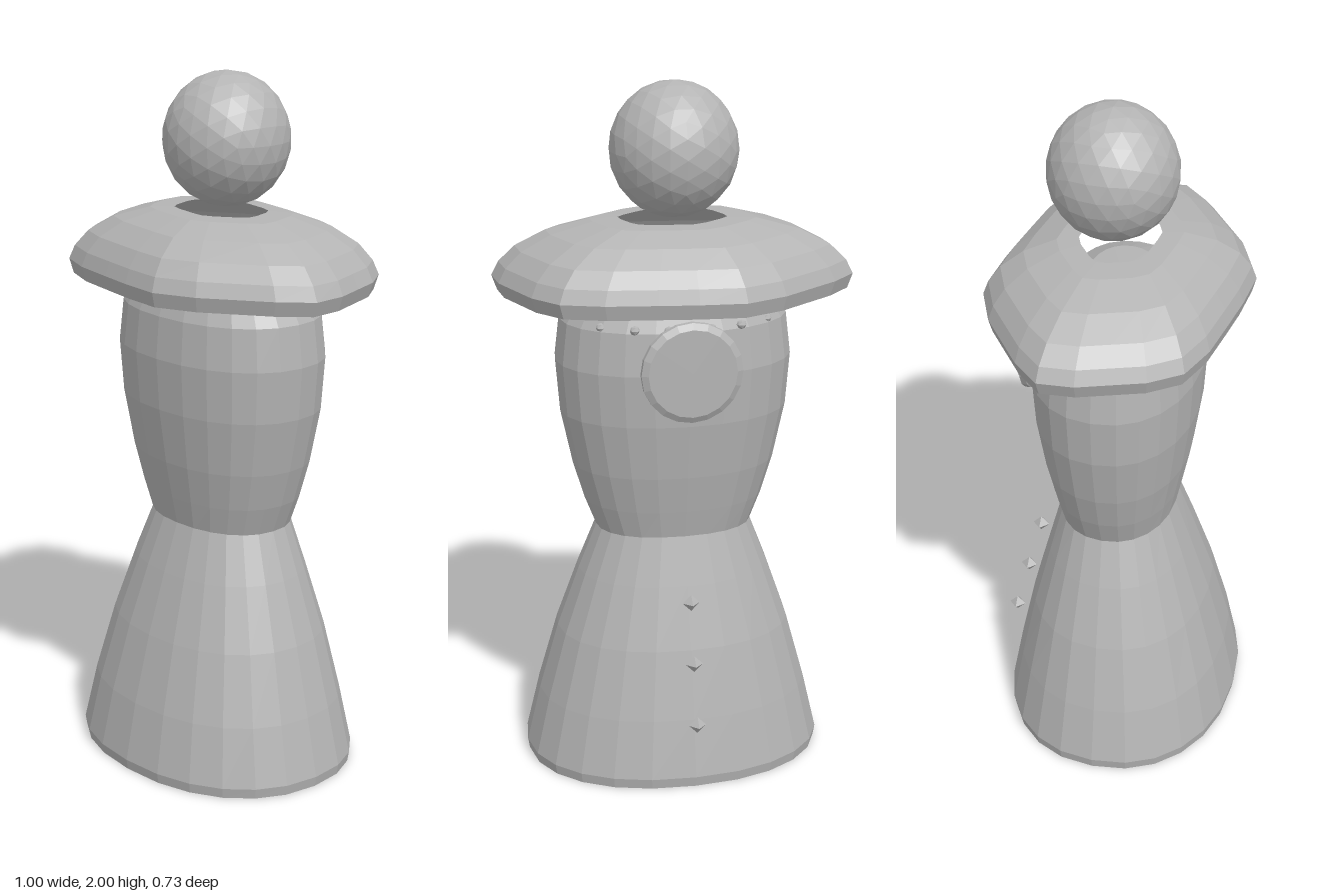
import * as THREE from 'three';

const clay = new THREE.MeshStandardMaterial({ color: 0xb4b4b4, flatShading: true, side: THREE.DoubleSide });
clay.name = 'clay grey';

// Surface through closed rings of [x, y, z] points, listed from bottom to top
function loft(rings) {
  const n = rings[0].length;
  const index = [];
  for (let i = 0; i < rings.length - 1; i++) {
    for (let j = 0; j < n; j++) {
      const k = (j + 1) % n;
      const a = i * n + j, b = i * n + k, c = a + n, d = b + n;
      index.push(a, c, b, b, c, d);
    }
  }
  const geo = new THREE.BufferGeometry();
  geo.setAttribute('position', new THREE.Float32BufferAttribute(rings.flat(2), 3));
  geo.setIndex(index);
  geo.computeVertexNormals();
  return geo;
}

// Slightly squared oval ring
function oval(y, rx, rz, cz = 0, sides = 24, power = 2.2) {
  const bend = v => Math.sign(v) * Math.pow(Math.abs(v), 2 / power);
  return Array.from({ length: sides }, (_, i) => {
    const a = (i / sides) * Math.PI * 2;
    return [rx * bend(Math.cos(a)), y, cz + rz * bend(Math.sin(a))];
  });
}

export function createModel() {
  const model = new THREE.Group();
  model.name = 'figure';

  function add(name, geo, x = 0, y = 0, z = 0) {
    const mesh = new THREE.Mesh(geo, clay);
    mesh.name = name;
    mesh.position.set(x, y, z);
    model.add(mesh);
    return mesh;
  }

  // Flared skirt, open below
  add('skirt', loft([
    [0, 0.435, 0.34, 0.02], [0.03, 0.44, 0.345, 0.02], [0.2, 0.4, 0.312, 0.018],
    [0.4, 0.344, 0.264, 0.012], [0.58, 0.28, 0.211, 0.006], [0.72, 0.225, 0.168, 0],
  ].map(r => oval(...r))));

  // Torso swelling to the chest and closing in rounded shoulders
  add('torso', loft([
    [0.71, 0.225, 0.166], [0.8, 0.26, 0.185], [0.91, 0.293, 0.207], [1.07, 0.327, 0.23],
    [1.22, 0.339, 0.239], [1.34, 0.325, 0.228], [1.41, 0.285, 0.2], [1.46, 0.22, 0.155],
    [1.5, 0.13, 0.09], [1.505, 0.001, 0.001],
  ].map(r => oval(...r))));

  // Wide uneven collar: half an outline, repeated by a half turn
  const half = [
    [-0.5, -0.1], [-0.425, -0.178], [-0.25, -0.305], [-0.13, -0.356], [0, -0.345], [0.11, -0.328],
    [0.25, -0.305], [0.365, -0.263], [0.428, -0.178], [0.46, -0.09], [0.493, 0],
  ];
  const outline = [...half, ...half.map(([x, z]) => [-x, -z])];
  const collarProfile = [
    [0.94, 1.425], [0.97, 1.408], [1, 1.45], [0.96, 1.49], [0.87, 1.535],
    [0.7, 1.58], [0.46, 1.612], [0.3, 1.615],
  ];
  add('collar', loft(collarProfile.map(([s, y]) => outline.map(([x, z]) => [x * s, y, z * s]))));

  // Head
  add('head', new THREE.IcosahedronGeometry(1, 3), 0, 1.81, -0.02).scale.set(0.181, 0.19, 0.181);

  // Bevelled round plate on the back
  const plate = [[0, -0.018], [0.125, -0.018], [0.143, -0.008], [0.143, 0.008], [0.125, 0.018], [0, 0.018]];
  add('backPlate', new THREE.LatheGeometry(plate.map(p => new THREE.Vector2(...p)), 20), 0, 1.235, -0.252)
    .rotation.x = -Math.PI / 2;

  // Buttons down the back of the skirt
  [[0.548, -0.25], [0.376, -0.293], [0.204, -0.336]].forEach(([y, z], i) =>
    add('skirtButton' + (i + 1), new THREE.OctahedronGeometry(0.025, 0), 0, y, z));

  // Small beads along the back of the shoulders
  for (const side of [-1, 1]) {
    [[0.06, -0.23], [0.15, -0.205], [0.235, -0.155]].forEach(([x, z], i) =>
      add('shoulderBead' + (i + 1), new THREE.OctahedronGeometry(0.014, 1), side * x, 1.35, z));
  }

  return model;
}
